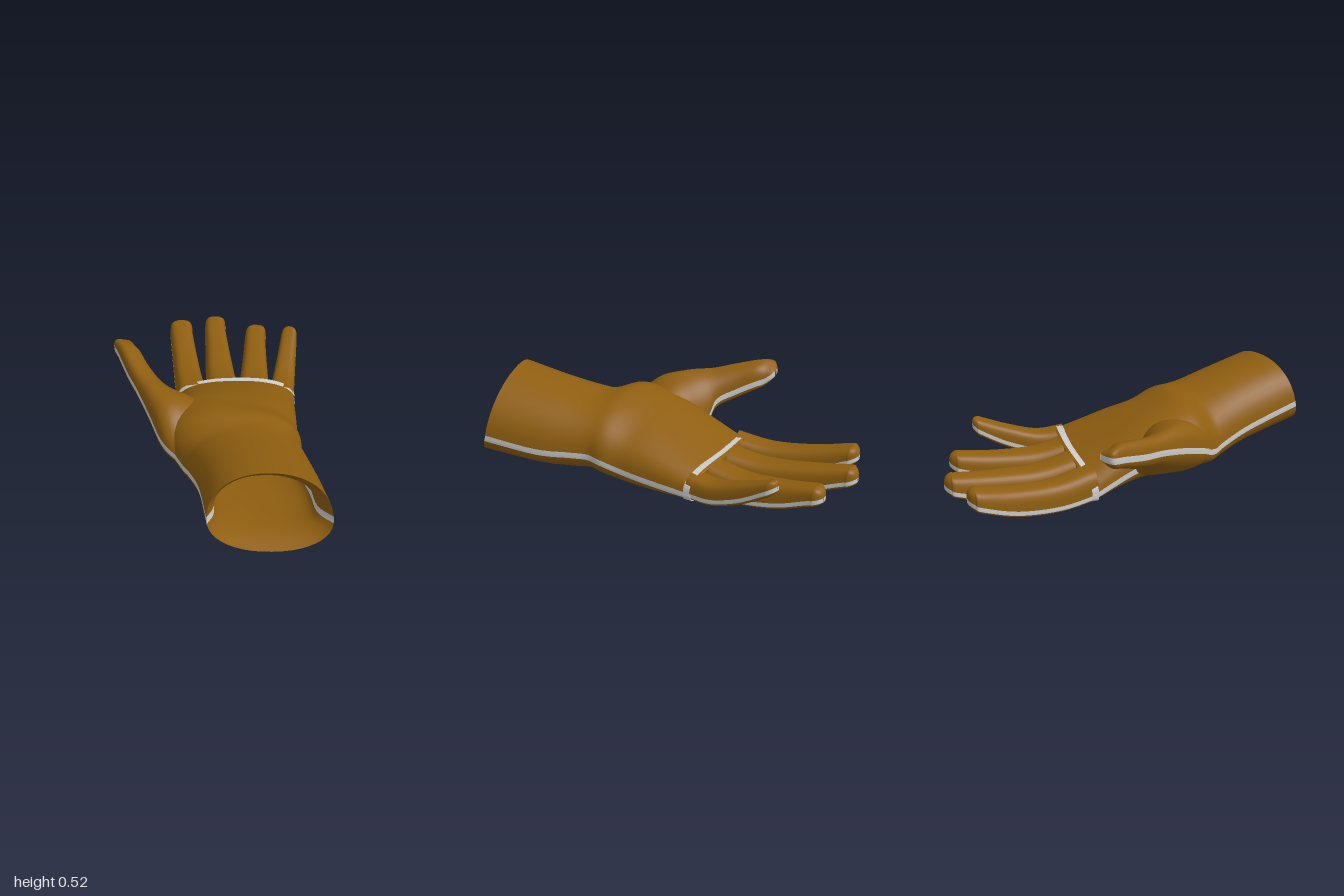
import * as THREE from 'three';

const leather = new THREE.MeshStandardMaterial({ color: 0x8f5e10, side: THREE.DoubleSide });
const piping = new THREE.MeshStandardMaterial({ color: 0xcccccc, side: THREE.DoubleSide });

// A section is [thumb-side edge xyz, little-finger-side edge xyz, height above, depth below, roundness,
// forward bow (optional), backward lean of the top (optional)].
function smoothSections(sections, steps) {
  const curve = (i) => new THREE.CatmullRomCurve3(
    sections.map((s) => new THREE.Vector3(s[i] ?? 0, s[i + 1] ?? 0, s[i + 2] ?? 0)), false, 'catmullrom', 0.5);
  const [a, b, c, d] = [0, 3, 6, 9].map(curve);
  const n = (sections.length - 1) * steps;
  return Array.from({ length: n + 1 }, (_, i) => {
    const k = c.getPoint(i / n), m = d.getPoint(i / n);
    return {
      a: a.getPoint(i / n), b: b.getPoint(i / n), bow: m.x, lean: m.y,
      up: Math.max(k.x, 0.001), down: Math.max(k.y, 0.001), p: k.z,
    };
  });
}

// Point on the rounded outline of a section; grow pushes it outward
function outline(s, t, grow) {
  const c = Math.cos(t), n = Math.sin(t);
  const w = Math.sign(c) * Math.abs(c) ** s.p;
  const v = Math.sign(n) * Math.abs(n) ** s.p;
  const half = s.b.clone().sub(s.a).multiplyScalar(0.5);
  half.setLength(half.length() + grow);
  const forward = new THREE.Vector3(half.z, 0, -half.x).normalize();
  const mid = s.a.clone().add(s.b).multiplyScalar(0.5);
  return mid.addScaledVector(half, w).addScaledVector(forward, s.bow * (1 - w * w) + s.lean * v)
    .add(new THREE.Vector3(0, v * ((n > 0 ? s.up : s.down) + grow), 0));
}

// Surface over all sections between two angles given per section
function patch(name, rows, range, cols, material, grow = 0) {
  const pos = [], idx = [];
  rows.forEach((s, i) => {
    const [t0, t1] = range(s);
    for (let j = 0; j <= cols; j++) {
      pos.push(...outline(s, t0 + ((t1 - t0) * j) / cols, grow).toArray());
      if (i && j) {
        const d = i * (cols + 1) + j, u = d - cols - 1;
        idx.push(u - 1, d - 1, u, u, d - 1, d);
      }
    }
  });
  const g = new THREE.BufferGeometry();
  g.setAttribute('position', new THREE.Float32BufferAttribute(pos, 3));
  g.setIndex(idx);
  g.computeVertexNormals();
  const mesh = new THREE.Mesh(g, material);
  mesh.name = name;
  return mesh;
}

// Leather above and below, with a seam strip along each side
function sewnTube(name, sections, steps = 5, seam = 0.018) {
  const rows = smoothSections(sections, steps);
  const edge = (h, p) => Math.asin(Math.min(1, seam / h) ** (1 / p));
  const up = (s) => edge(s.up, s.p), down = (s) => edge(s.down, s.p);
  const group = new THREE.Group();
  group.name = name;
  group.add(
    patch(name + 'Back', rows, (s) => [up(s), Math.PI - up(s)], 20, leather),
    patch(name + 'Palm', rows, (s) => [Math.PI + down(s), 2 * Math.PI - down(s)], 20, leather),
    patch(name + 'OuterSeam', rows, (s) => [-down(s), up(s)], 4, piping),
    patch(name + 'InnerSeam', rows, (s) => [Math.PI - up(s), Math.PI + down(s)], 4, piping));
  return group;
}

// Finger from plan points [x, z]; heights of the seam at base, lower third, upper third, end and tip
function finger(name, baseA, baseB, endA, endB, tip, ys, thick) {
  const at = (p, q, s) => [p[0] + (q[0] - p[0]) * s, p[1] + (q[1] - p[1]) * s];
  const section = (a, b, y, up, down) => [a[0], y, a[1], b[0], y, b[1], up, down, 0.58];
  const along = [0, 0.33, 0.7, 1].map((s, i) => section(
    at(baseA, endA, s), at(baseB, endB, s), ys[i], thick * [1, 0.92, 0.85, 0.62][i], 0.033));
  const endMid = at(endA, endB, 0.5);
  const rounded = [0.5, 0.95, 1.3, 1.54].map((angle) => {
    const mid = at(endMid, tip, Math.sin(angle)), c = Math.cos(angle);
    const corner = (e) => [mid[0] + (e[0] - endMid[0]) * c, mid[1] + (e[1] - endMid[1]) * c];
    return section(corner(endA), corner(endB), ys[3] + (ys[4] - ys[3]) * Math.sin(angle),
      0.015 + (thick * 0.62 - 0.015) * c, 0.014 + 0.019 * c);
  });
  return sewnTube(name, [...along, ...rounded], 5, 0.013);
}

export function createModel() {
  const glove = new THREE.Group();
  glove.name = 'glove';

  // Cuff, wrist and hand, open at the cuff
  const opening = [0.2, 0.3, 0.99, 0.77, 0.22, 0.69, 0.26, 0.165, 0.92, 0, 0.05];
  const knuckle = [-0.43, 0.06, -0.2, 0.24, 0.095, -0.4, 0.135, 0.05, 0.66, 0.04, 0];
  const handEnd = [-0.435, 0.055, -0.22, 0.235, 0.095, -0.42, 0.125, 0.045, 0.66, 0.04, 0];
  glove.add(sewnTube('hand', [
    opening,
    [0.05, 0.225, 0.7, 0.62, 0.18, 0.43, 0.265, 0.15, 0.9],
    [-0.07, 0.18, 0.54, 0.51, 0.18, 0.27, 0.25, 0.15, 0.9],
    [-0.13, 0.165, 0.48, 0.45, 0.18, 0.18, 0.25, 0.14, 0.88],
    [-0.25, 0.22, 0.38, 0.43, 0.17, 0.1, 0.24, 0.155, 0.86],
    [-0.32, 0.21, 0.18, 0.38, 0.14, 0, 0.21, 0.14, 0.82],
    [-0.34, 0.16, 0.02, 0.33, 0.12, -0.15, 0.19, 0.11, 0.76],
    knuckle, handEnd,
  ]));

  // Padded lining, turned in at the cuff and closed inside the wrist
  glove.add(sewnTube('cuffLining', [
    opening,
    [0.19, 0.27, 0.86, 0.665, 0.21, 0.62, 0.2, 0.12, 0.92, 0, 0.03],
    [0.1, 0.23, 0.67, 0.57, 0.19, 0.45, 0.2, 0.1, 0.9],
    [-0.03, 0.19, 0.45, 0.39, 0.19, 0.24, 0.18, 0.09, 0.9],
    [0.0, 0.19, 0.34, 0.3, 0.18, 0.19, 0.12, 0.07, 0.9],
    [0.1, 0.19, 0.25, 0.16, 0.185, 0.22, 0.02, 0.02, 0.9],
  ]));

  // Wall between the finger roots
  const flat = [...handEnd];
  flat[6] = flat[7] = 0.001;
  glove.add(sewnTube('fingerWebbing', [handEnd, flat], 1));

  // Piping that rings the hand at the knuckles
  const shifted = (dx, dz) => knuckle.map((v, i) => v + (i === 0 || i === 3 ? dx : i === 2 || i === 5 ? dz : 0));
  const bandRows = smoothSections([shifted(0.006, 0.018), shifted(-0.006, -0.018)], 2);
  glove.add(patch('knuckleBand', bandRows, () => [0, 2 * Math.PI], 64, piping, 0.006));

  // Thumb, rising from the side of the hand
  glove.add(sewnTube('thumb', [
    [-0.15, 0.17, 0.45, 0.02, 0.22, 0.12, 0.12, 0.08, 0.9],
    [-0.27, 0.24, 0.415, -0.18, 0.2, 0.05, 0.195, 0.12, 0.9],
    [-0.4, 0.31, 0.285, -0.34, 0.2, 0.02, 0.175, 0.09, 0.88],
    [-0.52, 0.36, 0.16, -0.42, 0.29, 0.02, 0.115, 0.075, 0.8],
    [-0.62, 0.39, 0.06, -0.52, 0.34, -0.04, 0.105, 0.065, 0.74],
    [-0.72, 0.43, -0.05, -0.6, 0.385, -0.11, 0.09, 0.055, 0.7],
    [-0.775, 0.45, -0.11, -0.64, 0.4, -0.14, 0.065, 0.045, 0.7],
    [-0.75, 0.45, -0.155, -0.67, 0.425, -0.168, 0.035, 0.025, 0.75],
    [-0.72, 0.45, -0.175, -0.7, 0.445, -0.178, 0.018, 0.018, 0.75],
  ]));

  // Four fingers
  glove.add(
    finger('indexFinger', [-0.42, -0.18], [-0.26, -0.27], [-0.7, -0.78], [-0.56, -0.81],
      [-0.64, -0.865], [0.06, 0.042, 0.075, 0.15, 0.18], 0.14),
    finger('middleFinger', [-0.27, -0.27], [-0.07, -0.33], [-0.515, -0.92], [-0.385, -0.94],
      [-0.455, -1], [0.065, 0.042, 0.075, 0.14, 0.165], 0.14),
    finger('ringFinger', [-0.09, -0.32], [0.1, -0.38], [-0.24, -0.92], [-0.11, -0.93],
      [-0.175, -1], [0.075, 0.05, 0.075, 0.135, 0.16], 0.135),
    finger('littleFinger', [0.09, -0.35], [0.24, -0.39], [0.025, -0.83], [0.125, -0.83],
      [0.07, -0.885], [0.1, 0.1, 0.16, 0.24, 0.275], 0.105));
  return glove;
}
